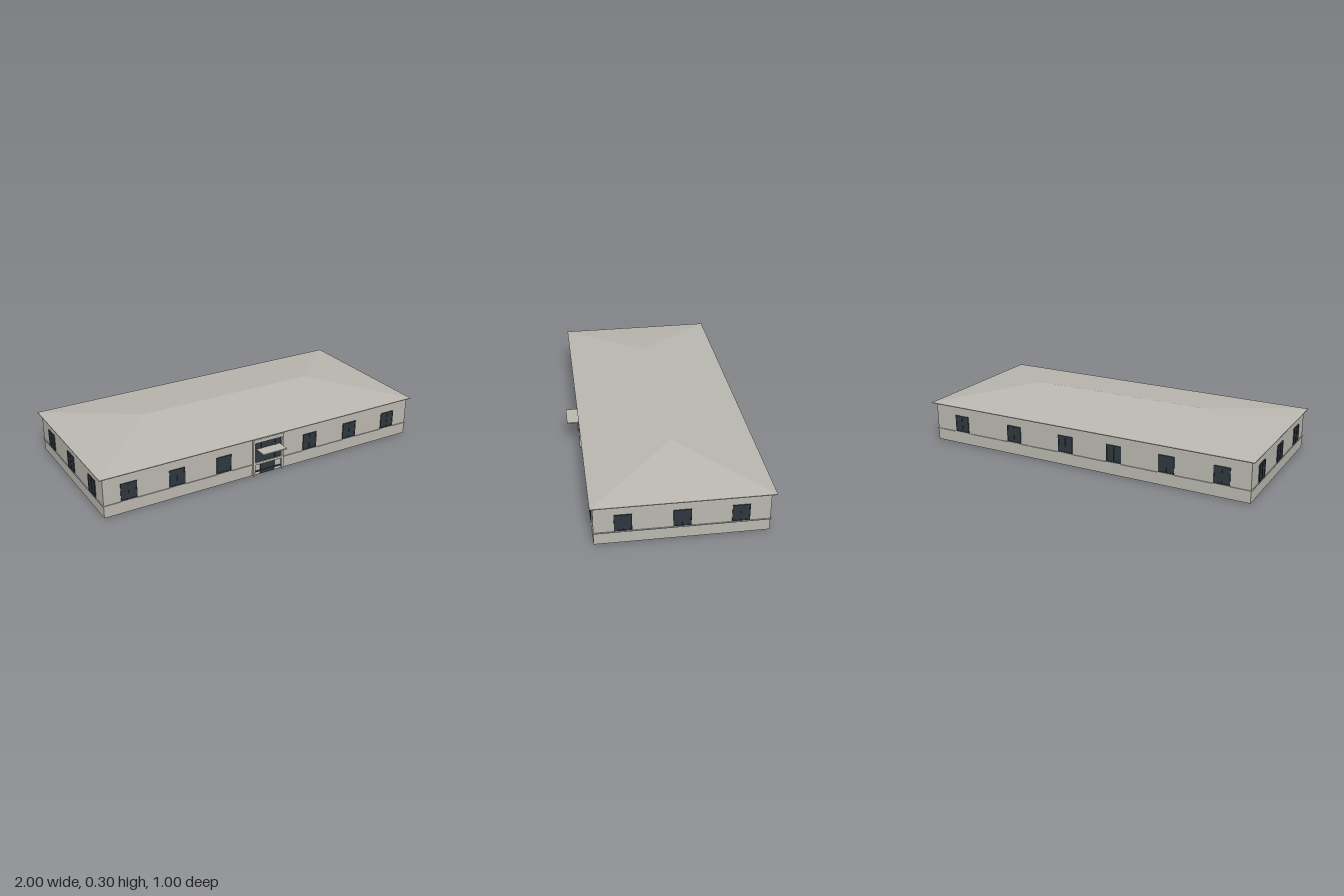
import * as THREE from 'three';

const stone = new THREE.MeshStandardMaterial({ color: 0xb8b6ae, side: THREE.DoubleSide });
stone.name = 'pale grey';
const glass = new THREE.MeshStandardMaterial({ color: 0x2e363e, side: THREE.DoubleSide });
glass.name = 'dark glass';

const EAVE = 0.226;

function box(parent, name, mat, w, h, d, x, y, z) {
  const m = new THREE.Mesh(new THREE.BoxGeometry(w, h, d), mat);
  m.name = name;
  m.position.set(x, y, z);
  parent.add(m);
  return m;
}

// Window: thin pane, raised frame and mullion, stone sill
function addWindow(parent, x) {
  const g = new THREE.Group();
  g.name = 'window';
  g.position.set(x, 0.122, 0);
  box(g, 'pane', glass, 0.086, 0.094, 0.003, 0, 0, 0.0015);
  for (const s of [-1, 1]) {
    box(g, 'frameSide', glass, 0.005, 0.097, 0.005, s * 0.0425, 0, 0.0025);
    box(g, 'frameRail', glass, 0.08, 0.005, 0.005, 0, s * 0.046, 0.0025);
  }
  box(g, 'mullion', glass, 0.004, 0.087, 0.005, 0, 0, 0.0025);
  box(g, 'sill', stone, 0.094, 0.003, 0.006, 0, -0.0505, 0.003);
  parent.add(g);
}

// Entrance: surround, glazing, door, canopy and step
function addEntrance(parent, x) {
  const g = new THREE.Group();
  g.name = 'entrance';
  g.position.x = x;
  for (const s of [-1, 1]) box(g, 'pilaster', stone, 0.012, 0.222, 0.012, s * 0.092, 0.111, 0.006);
  box(g, 'lintel', stone, 0.172, 0.022, 0.012, 0, 0.211, 0.006);
  box(g, 'upperGlazing', glass, 0.166, 0.117, 0.005, 0, 0.1385, 0.0025);
  for (const s of [-1, 1]) box(g, 'glazingBar', glass, 0.004, 0.117, 0.008, s * 0.045, 0.1385, 0.004);
  box(g, 'transom', stone, 0.172, 0.014, 0.01, 0, 0.073, 0.005);
  box(g, 'door', glass, 0.094, 0.14, 0.006, 0, 0.072, 0);
  box(g, 'canopy', stone, 0.15, 0.006, 0.075, 0, 0.158, 0.0395);
  box(g, 'step', glass, 0.172, 0.005, 0.008, 0, 0.023, 0.004);
  parent.add(g);
}

// Hip roof with a thin eave edge and flat soffit
function makeRoof() {
  const eave = [[-1, 0.414], [0.985, 0.445], [1, -0.482], [-0.99, -0.505]];
  const pts = [
    ...eave.map(([x, z]) => [x, EAVE, z]),
    ...eave.map(([x, z]) => [x, EAVE + 0.004, z]),
    [-0.535, 0.297, -0.037], [0.535, 0.297, -0.025],
  ];
  const idx = [4, 5, 9, 4, 9, 8, 5, 6, 9, 6, 7, 8, 6, 8, 9, 7, 4, 8, 0, 2, 1, 0, 3, 2];
  for (let i = 0; i < 4; i++) {
    const j = (i + 1) % 4;
    idx.push(i, j, j + 4, i, j + 4, i + 4);
  }
  const geo = new THREE.BufferGeometry();
  geo.setAttribute('position', new THREE.Float32BufferAttribute(idx.flatMap((i) => pts[i]), 3));
  geo.computeVertexNormals();
  const roof = new THREE.Mesh(geo, stone);
  roof.name = 'hipRoof';
  return roof;
}

export function createModel() {
  const model = new THREE.Group();
  model.name = 'building';

  // Slightly skewed footprint, counterclockwise from front left of the plan
  const corners = [[-0.98, 0.398], [0.965, 0.43], [0.979, -0.46], [-0.972, -0.483]];
  const sides = [
    { name: 'frontWall', windows: [0.072, 0.213, 0.357, 0.642, 0.784, 0.927] },
    { name: 'rightWall', windows: [0.166, 0.498, 0.83] },
    { name: 'backWall', windows: [0.092, 0.278, 0.451, 0.605, 0.763, 0.92] },
    { name: 'leftWall', windows: [0.172, 0.506, 0.84] },
  ];

  sides.forEach(({ name, windows }, i) => {
    const [x0, z0] = corners[i];
    const [x1, z1] = corners[(i + 1) % 4];
    const len = Math.hypot(x1 - x0, z1 - z0);
    const side = new THREE.Group();
    side.name = name;
    side.position.set(x0, 0, z0);
    side.rotation.y = Math.atan2(z0 - z1, x1 - x0);

    const wall = new THREE.Mesh(new THREE.PlaneGeometry(len, EAVE), stone);
    wall.name = 'wallFace';
    wall.position.set(len / 2, EAVE / 2, 0);
    side.add(wall);

    // String course, broken by the entrance on the front
    const spans = i === 0 ? [[-0.005, 0.449 * len], [0.549 * len, len + 0.005]] : [[-0.005, len + 0.005]];
    for (const [a, b] of spans) box(side, 'stringCourse', stone, b - a, 0.004, 0.005, (a + b) / 2, 0.068, 0.0025);

    windows.forEach((f) => addWindow(side, f * len));
    if (i === 0) addEntrance(side, 0.499 * len);
    model.add(side);
  });

  model.add(makeRoof());
  return model;
}
